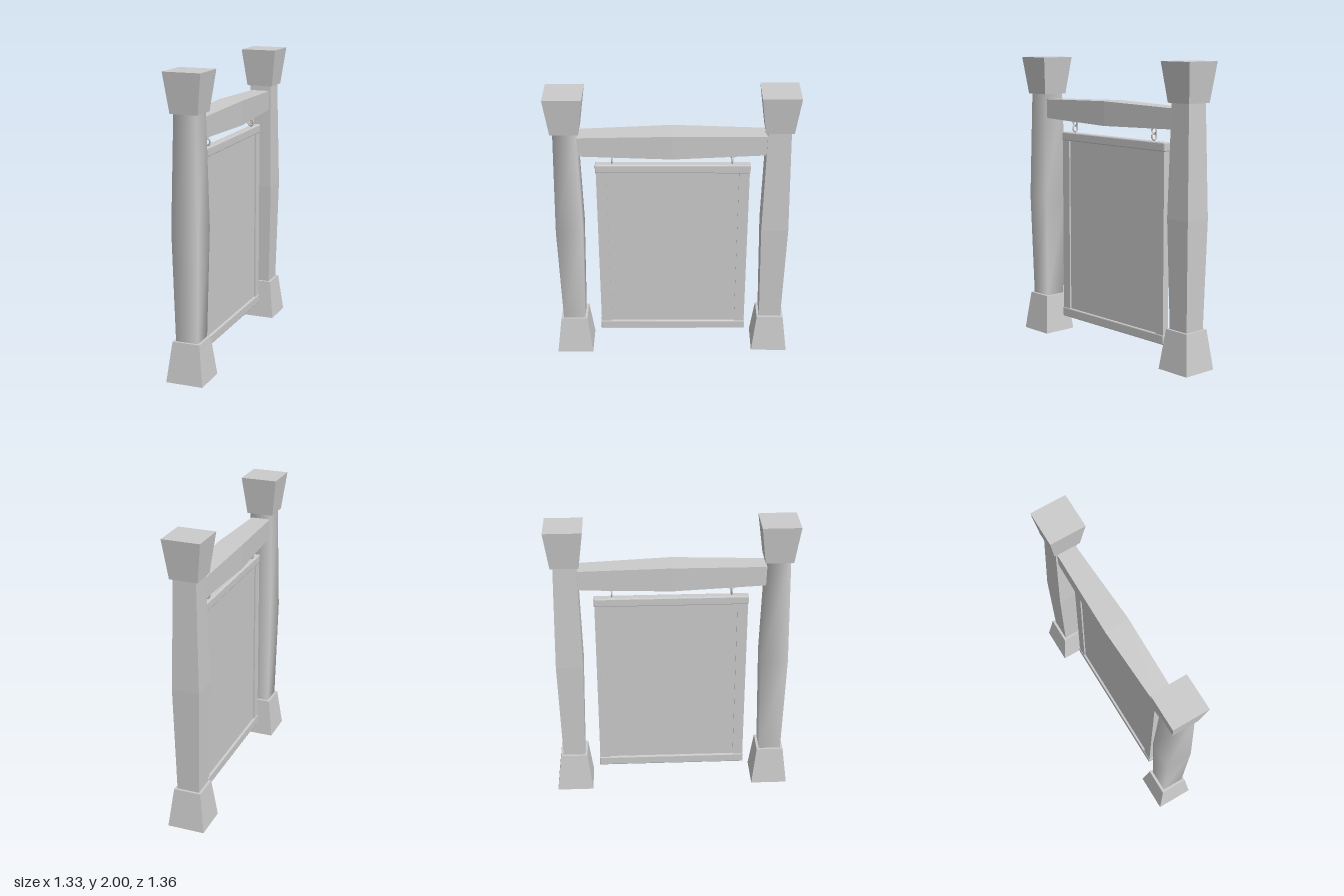
import * as THREE from 'three';
import { RoundedBoxGeometry } from 'three/addons/geometries/RoundedBoxGeometry.js';

const flat = new THREE.MeshStandardMaterial({ color: 0xcccccc, flatShading: true });
const smooth = new THREE.MeshStandardMaterial({ color: 0xcccccc });

// Four-sided loft along y through sections [y, halfX, halfZ]
function loft(sections, capped = true) {
  const pos = [], idx = [];
  for (const [y, a, b] of sections) pos.push(-a, y, b, a, y, b, a, y, -b, -a, y, -b);
  for (let i = 0; i < sections.length - 1; i++) {
    for (let j = 0; j < 4; j++) {
      const p = i * 4 + j, q = i * 4 + (j + 1) % 4;
      idx.push(p, q, q + 4, p, q + 4, p + 4);
    }
  }
  if (capped) {
    const t = (sections.length - 1) * 4;
    idx.push(0, 2, 1, 0, 3, 2, t, t + 1, t + 2, t, t + 2, t + 3);
  }
  const g = new THREE.BufferGeometry();
  g.setAttribute('position', new THREE.Float32BufferAttribute(pos, 3));
  g.setIndex(idx);
  g.computeVertexNormals();
  return g;
}

function add(parent, name, geometry, x = 0, y = 0, z = 0, material = flat) {
  const mesh = new THREE.Mesh(geometry, material);
  mesh.name = name;
  mesh.position.set(x, y, z);
  parent.add(mesh);
  return mesh;
}

export function createModel() {
  const model = new THREE.Group();
  model.name = 'hangingSign';
  // The sign stands diagonally
  model.rotation.y = Math.PI / 4;

  // Posts with flared base and cap
  for (const s of [-1, 1]) {
    const post = new THREE.Group();
    post.name = s < 0 ? 'rightPost' : 'leftPost';
    post.position.set(s * 0.697, 0, -s * 0.0106);
    model.add(post);
    add(post, 'base', loft([[0, 0.126, 0.126], [0.27, 0.093, 0.093]]));
    add(post, 'shaft', loft([[0.27, 0.076, 0.076], [1, 0.092, 0.092], [1.74, 0.076, 0.076]], false),
      0, 0, 0, s < 0 ? smooth : flat);
    add(post, 'cap', loft([[1.74, 0.093, 0.093], [2, 0.126, 0.126]]));
  }

  // Crossbeam, swelling at its middle
  const beam = add(model, 'crossbeam',
    loft([[-0.622, 0.067, 0.067], [0, 0.083, 0.086], [0.622, 0.067, 0.067]]), 0, 1.637, 0);
  beam.rotation.set(0, 0.015, -Math.PI / 2, 'YXZ');

  // Chains: two interlocked rings on each side
  const ring = new THREE.TorusGeometry(0.02, 0.006, 6, 14);
  for (const s of [-1, 1]) {
    const chain = new THREE.Group();
    chain.name = s < 0 ? 'rightChain' : 'leftChain';
    chain.position.x = s * 0.398;
    model.add(chain);
    add(chain, 'upperLink', ring, 0, 1.545, 0, smooth);
    const lower = add(chain, 'lowerLink', ring, 0, 1.507, 0, smooth);
    lower.rotation.y = Math.PI / 2;
    lower.scale.y = 1.15;
  }

  // Framed sign board
  const sign = new THREE.Group();
  sign.name = 'sign';
  sign.position.x = 0.004;
  model.add(sign);
  add(sign, 'topRail', new RoundedBoxGeometry(1.034, 0.06, 0.056, 1, 0.007), 0, 1.446, 0);
  add(sign, 'bottomRail', new RoundedBoxGeometry(1.034, 0.066, 0.056, 1, 0.007), 0, 0.163, 0);
  for (const s of [-1, 1]) {
    add(sign, s < 0 ? 'rightStile' : 'leftStile',
      new THREE.BoxGeometry(0.07, 1.23, 0.048), s * 0.477, 0.806, 0);
  }
  add(sign, 'panel', new THREE.BoxGeometry(0.9, 1.23, 0.026), 0, 0.806, 0);

  const root = new THREE.Group();
  root.add(model);
  return root;
}
